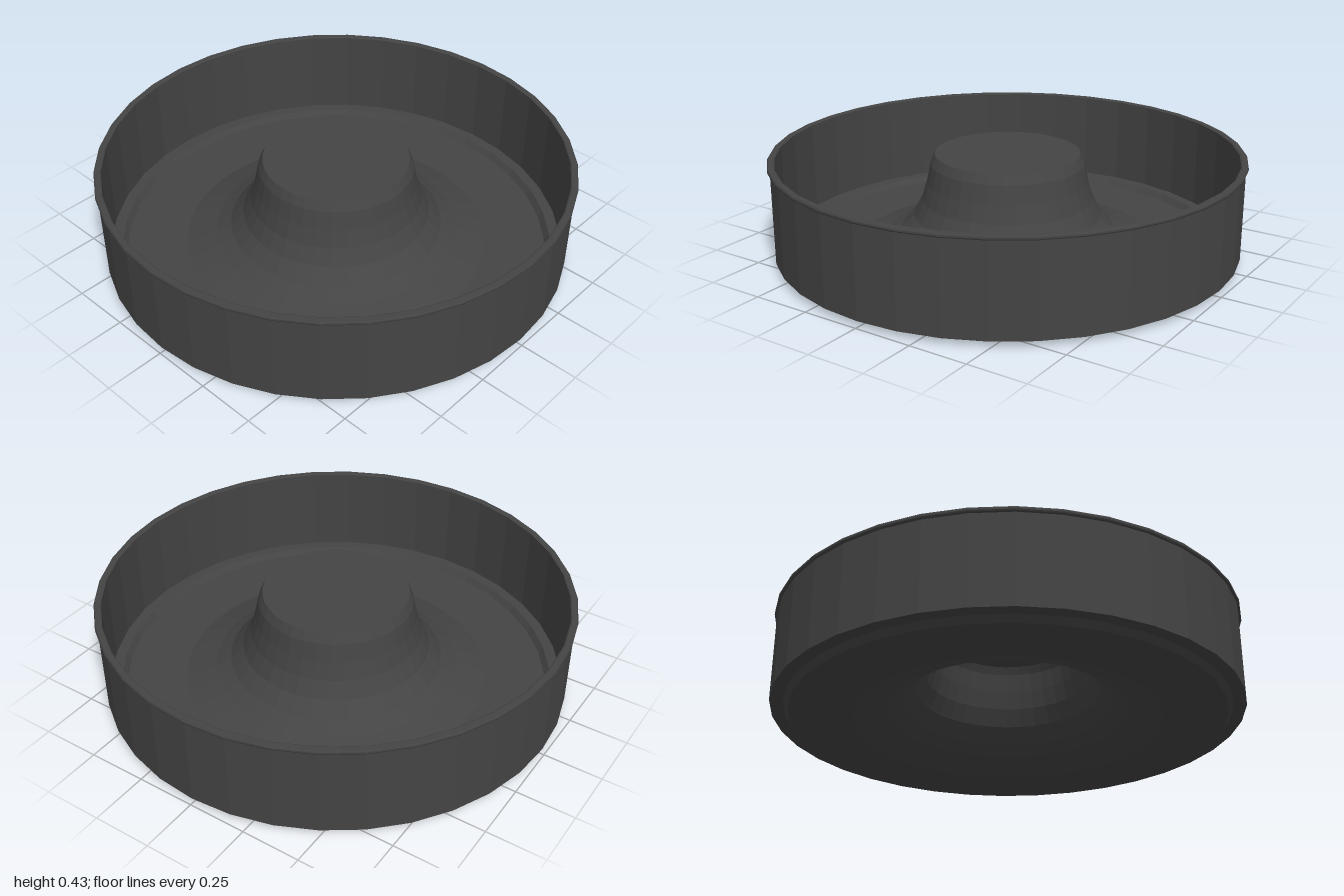
import * as THREE from 'three';

const SIDES = 36;

// Faceted ring or disc turned from a [radius, height] profile (solid lies on the left of its path).
function turned(name, profile, material) {
  const points = profile.map(([r, y]) => new THREE.Vector2(r, y));
  const geometry = new THREE.LatheGeometry(points, SIDES).toNonIndexed();
  geometry.computeVertexNormals();
  const mesh = new THREE.Mesh(geometry, material);
  mesh.name = name;
  return mesh;
}

export function createModel() {
  const group = new THREE.Group();
  group.name = 'dish';
  const darkGrey = new THREE.MeshStandardMaterial({ color: 0x444444 });
  darkGrey.name = 'darkGrey';

  // Flared central hub, hollow underneath
  const hubTop = [[0.65, 0.015], [0.52, 0.06], [0.455, 0.095], [0.4, 0.155],
    [0.365, 0.225], [0.343, 0.3], [0.327, 0.38], [0.308, 0.42], [0, 0.42]];
  const hubUnder = [[0, 0.408], [0.3, 0.408], [0.315, 0.375], [0.331, 0.297],
    [0.353, 0.22], [0.39, 0.147], [0.447, 0.086], [0.515, 0.048], [0.65, 0]];
  group.add(turned('hubTop', hubTop, darkGrey));
  group.add(turned('hubUnderside', hubUnder, darkGrey));

  // Pressed floor with a shallow step near the wall
  group.add(turned('floorTop', [[0.97, 0.04], [0.925, 0.04], [0.905, 0.015], [0.65, 0.015]], darkGrey));
  group.add(turned('floorUnderside', [[0.65, 0], [0.915, 0], [0.935, 0.025], [0.99, 0.025]], darkGrey));

  // Upright wall, outside and inside
  group.add(turned('wallOutside', [[0.99, 0.025], [0.99, 0.408]], darkGrey));
  group.add(turned('wallInside', [[0.97, 0.425], [0.97, 0.04]], darkGrey));

  // Rolled lip around the top edge
  group.add(turned('lip', [[0.99, 0.408], [0.997, 0.41], [1, 0.415], [1, 0.422],
    [0.996, 0.428], [0.975, 0.428], [0.97, 0.425]], darkGrey));

  return group;
}
